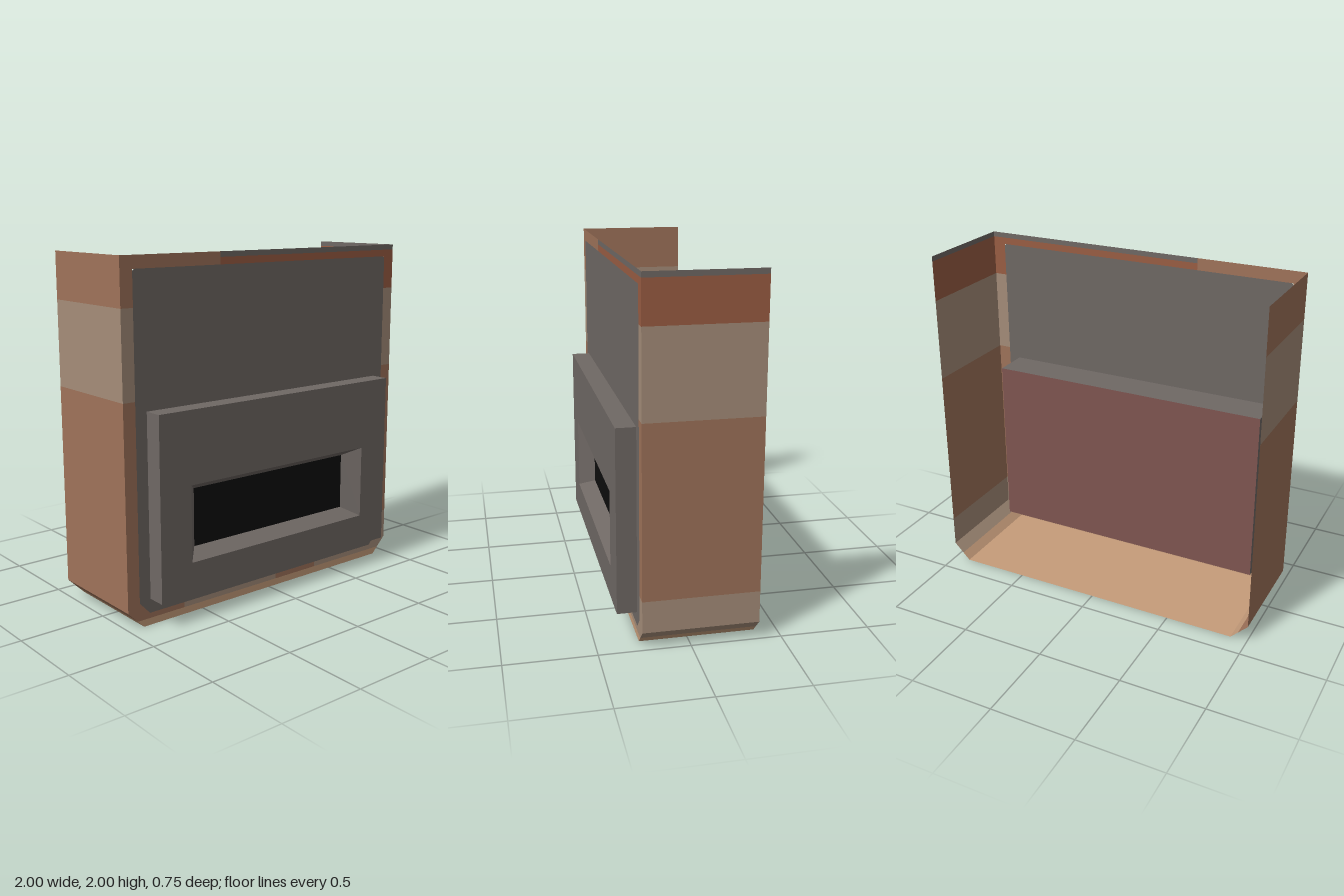
import * as THREE from 'three';
import { mergeGeometries } from 'three/addons/utils/BufferGeometryUtils.js';

const mat = (name, color) => {
  const m = new THREE.MeshStandardMaterial({ color, side: THREE.DoubleSide });
  m.name = name;
  return m;
};

// Flat convex polygon from 3D corners (fan of triangles)
function face(points) {
  const pos = [];
  for (let i = 1; i < points.length - 1; i++) pos.push(...points[0], ...points[i], ...points[i + 1]);
  const g = new THREE.BufferGeometry();
  g.setAttribute('position', new THREE.Float32BufferAttribute(pos, 3));
  g.computeVertexNormals();
  return g;
}

const rect = (x0, y0, x1, y1) => [[x0, y0], [x1, y0], [x1, y1], [x0, y1]];

export function createModel() {
  const grey = mat('stone grey', 0x6f6864);
  const taupe = mat('taupe', 0xa58d79);
  const brown = mat('brown', 0x9f735a);
  const rust = mat('rust', 0x9a5d43);
  const tan = mat('tan', 0xc69c7a);
  const maroon = mat('maroon', 0x7f5551);
  const black = mat('soot black', 0x0d0d0d);

  const model = new THREE.Group();
  const ZF = 0.265, ZB = -0.375;

  // Builds a named group with one mesh per colour from [material, corners] entries
  function part(name, entries) {
    const group = new THREE.Group();
    group.name = name;
    const byColour = new Map();
    for (const [m, pts] of entries) {
      if (!byColour.has(m)) byColour.set(m, []);
      byColour.get(m).push(face(pts));
    }
    for (const [m, list] of byColour) {
      const mesh = new THREE.Mesh(mergeGeometries(list), m);
      mesh.name = `${name} ${m.name}`;
      group.add(mesh);
    }
    model.add(group);
    return group;
  }

  // Front panel: grey field with a patchy painted border
  const border = [
    [grey, [[-0.925, 0.14], [-0.86, 0.07], [0.86, 0.07], [0.925, 0.14], [0.925, 1.92], [0.915, 1.93], [-0.915, 1.93], [-0.925, 1.92]]],
    // left-hand strip
    [brown, rect(-1, 1.735, -0.925, 2)],
    [taupe, rect(-1, 1.25, -0.925, 1.735)],
    [brown, rect(-1, 0.14, -0.925, 1.25)],
    [brown, [[-1, 0.14], [-1, 0.1], [-0.94, 0.04], [-0.86, 0.04], [-0.86, 0.07], [-0.925, 0.14]]],
    // right-hand strip
    [rust, rect(0.925, 1.735, 1, 1.97)],
    [taupe, rect(0.925, 1.25, 1, 1.735)],
    [brown, rect(0.925, 0.28, 1, 1.25)],
    [taupe, rect(0.925, 0.14, 1, 0.28)],
    [taupe, [[1, 0.14], [0.925, 0.14], [0.86, 0.07], [0.86, 0.04], [0.94, 0.04], [1, 0.1]]],
    // top strip
    [brown, rect(-0.925, 1.93, -0.36, 2)],
    [rust, rect(-0.36, 1.93, 0.925, 1.97)],
    [grey, rect(-0.36, 1.97, 1, 2)],
    // bottom strip
    [tan, [[-0.94, 0.04], [-0.9, 0], [0.9, 0], [0.94, 0.04]]],
    [brown, rect(-0.86, 0.04, -0.63, 0.07)],
    [taupe, rect(-0.63, 0.04, 0.05, 0.07)],
    [brown, rect(0.05, 0.04, 0.37, 0.07)],
    [taupe, rect(0.37, 0.04, 0.86, 0.07)],
  ];
  part('frontPanel', border.map(([m, pts]) => [m, pts.map(([x, y]) => [x, y, ZF])]));

  // Side walls, chamfers and floor: strips running from the panel to the open back
  const strip = (m, [x0, y0], [x1, y1]) =>
    [m, [[x0, y0, ZF], [x1, y1, ZF], [x1, y1, ZB], [x0, y0, ZB]]];
  const wall = (s, bands) => bands.map(([m, y0, y1]) => strip(m, [s, y0], [s, y1]));
  const chamfer = (s, upper) => [
    strip(upper, [s, 0.1], [s * 0.943, 0.043]),
    strip(tan, [s * 0.943, 0.043], [s * 0.9, 0]),
  ];
  part('leftWall', [
    ...wall(1, [[grey, 1.97, 2], [rust, 1.735, 1.97], [taupe, 1.25, 1.735], [brown, 0.28, 1.25], [taupe, 0.1, 0.28]]),
    ...chamfer(1, taupe),
  ]);
  part('rightWall', [
    ...wall(-1, [[brown, 1.735, 2], [taupe, 1.25, 1.735], [brown, 0.1, 1.25]]),
    ...chamfer(-1, brown),
  ]);
  part('floor', [strip(tan, [-0.9, 0], [0.9, 0])]);

  // Firebox: projecting block with a maroon back
  const X = 0.855, Y0 = 0.15, Y1 = 1.19, F = 0.375, B = 0.055;
  const at = (pts, z) => pts.map(([x, y]) => [x, y, z]);
  const ring = (a, za, b, zb) => a.map((p, i) => {
    const j = (i + 1) % 4;
    return [[...p, za], [...a[j], za], [...b[j], zb], [...b[i], zb]];
  });
  const block = rect(-X, Y0, X, Y1);
  const mouth = rect(-0.652, 0.34, 0.652, 0.777);
  const throat = rect(-0.567, 0.39, 0.57, 0.725);
  part('firebox', [
    ...ring(block, B, block, F).map(p => [grey, p]),
    ...ring(block, F, mouth, F).map(p => [grey, p]),
    [maroon, at(block, B).reverse()],
  ]);

  // Opening: bevelled frame sinking to a black face
  part('fireboxOpening', [
    ...ring(mouth, F, throat, 0.28).map(p => [grey, p]),
    [black, at(throat, 0.28)],
  ]);

  return model;
}
